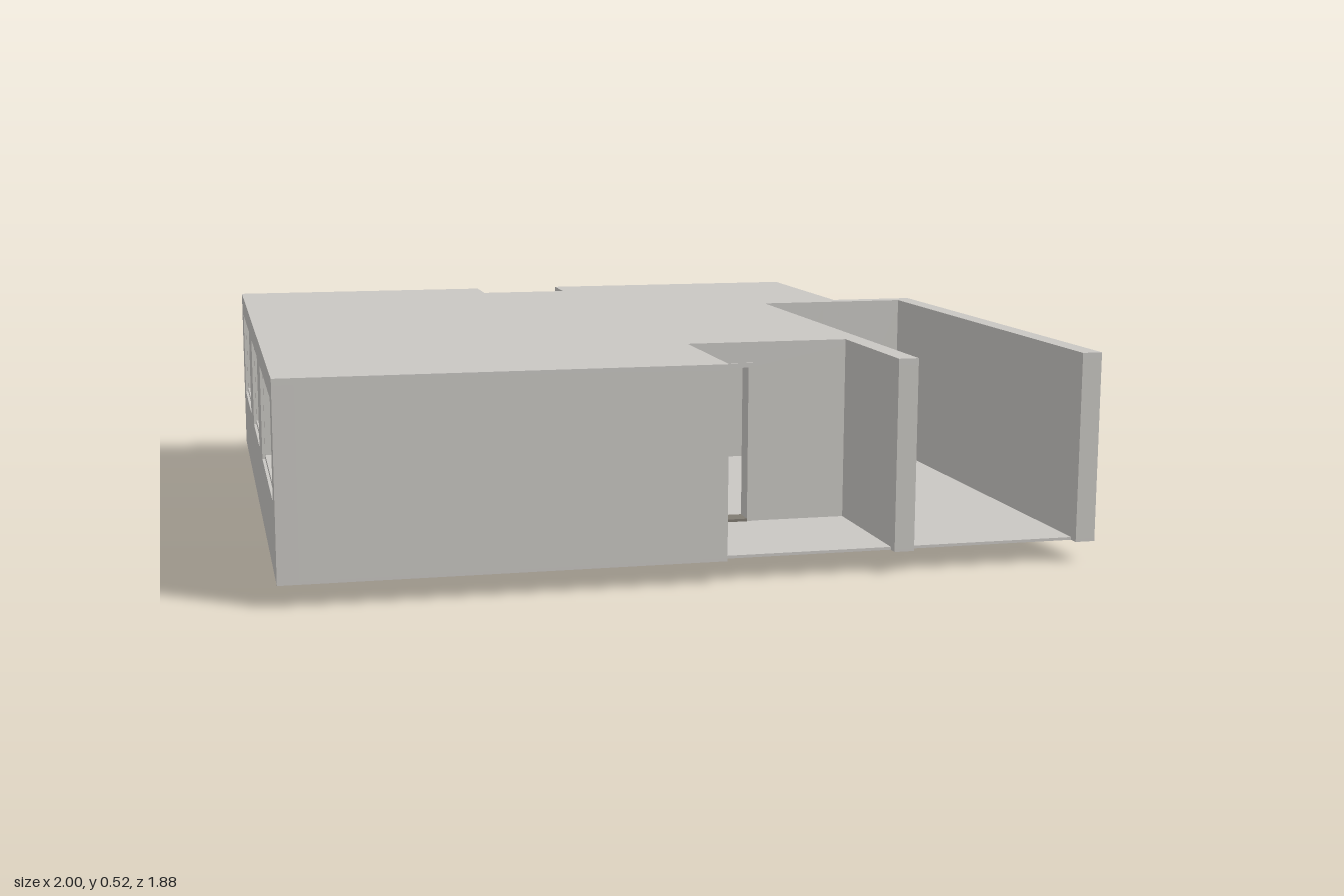
import * as THREE from 'three';

const plaster = new THREE.MeshStandardMaterial({ color: 0xc9c7c3 });
plaster.name = 'pale plaster';
const brown = new THREE.MeshStandardMaterial({ color: 0x807b72 });
brown.name = 'grey brown';
const dark = new THREE.MeshStandardMaterial({ color: 0x4a4846 });
dark.name = 'dark metal';

const FLOOR = 0.06, CEIL = 0.51, TOP = 0.525, BASE = 0.053, T = 0.05;

export function createModel() {
  const root = new THREE.Group();
  root.name = 'apartment';

  const add = (name, geo, mat = plaster, parent = root) => {
    const m = new THREE.Mesh(geo, mat);
    m.name = name;
    parent.add(m);
    return m;
  };
  const box = (name, x0, x1, y0, y1, z0, z1, mat, parent) =>
    add(name, new THREE.BoxGeometry(x1 - x0, y1 - y0, z1 - z0)
      .translate((x0 + x1) / 2, (y0 + y1) / 2, (z0 + z1) / 2), mat, parent);

  // Upright panel running along x or z, from a to b, with rectangular holes [a0, a1, y0, y1]
  const panel = (name, axis, a, b, y0, y1, c, t, holes = [], mat, parent) => {
    const rect = (P, [u0, u1, v0, v1]) => {
      const p = new P();
      p.moveTo(u0, v0); p.lineTo(u1, v0); p.lineTo(u1, v1); p.lineTo(u0, v1); p.closePath();
      return p;
    };
    const s = rect(THREE.Shape, [a, b, y0, y1]);
    holes.forEach(h => s.holes.push(rect(THREE.Path, h)));
    const g = new THREE.ExtrudeGeometry(s, { depth: t, bevelEnabled: false });
    if (axis === 'x') g.translate(0, 0, c);
    else g.rotateY(-Math.PI / 2).translate(c + t, 0, 0);
    return add(name, g, mat, parent);
  };
  const wall = (name, axis, a, b, c, holes) =>
    panel(name, axis, a, b, FLOOR, CEIL, c, T, holes);

  // Horizontal plate from a plan outline of [x, z] points
  const plate = (name, pts, y0, y1) => {
    const s = new THREE.Shape(pts.map(([x, z]) => new THREE.Vector2(x, -z)));
    add(name, new THREE.ExtrudeGeometry(s, { depth: y1 - y0, bevelEnabled: false })
      .rotateX(-Math.PI / 2).translate(0, y0, 0));
  };

  // Floor and roof
  const plan = balconyZ => [[-1, -0.94], [-0.25, -0.94], [-0.25, balconyZ], [0.005, balconyZ],
    [0.005, -0.94], [0.76, -0.94], [0.76, -0.355], [1, -0.355], [1, 0.94], [0.95, 0.94]];
  plate('floor', [...plan(-0.93), [0.95, 0.915], [0.525, 0.915], [0.525, 0.94], [0.475, 0.94],
    [0.475, 0.915], [0.055, 0.915], [0.055, 0.94], [-1, 0.94]], BASE, FLOOR);
  plate('roof', [...plan(-0.8), [0.95, -0.305], [0.525, -0.305], [0.525, 0.94], [0.475, 0.94],
    [0.475, 0.56], [0.055, 0.56], [0.055, 0.94], [-1, 0.94]], CEIL, TOP);

  // Outer walls
  const win = (z0, z1) => [z0, z1, 0.23, 0.47];
  const leftWindows = [[-0.83, -0.4], [-0.21, 0.15], [0.325, 0.86]];
  wall('sideWall', 'z', -0.94, 0.94, -1, leftWindows.map(w => win(...w)));
  wall('backWall', 'x', -0.95, -0.25, -0.94);
  wall('backWall', 'x', 0.005, 0.71, -0.94);
  wall('windowWall', 'z', -0.94, -0.305, 0.71, [win(-0.83, -0.4)]);
  wall('cornerWall', 'x', 0.76, 0.95, -0.355);
  wall('corridorEndWall', 'x', 0.475, 0.71, -0.355);
  wall('outerWall', 'z', -0.355, 0.94, 0.95);
  wall('middleWall', 'z', -0.305, 0.94, 0.475);
  wall('entryBackWall', 'x', 0.005, 0.475, 0.51, [[0.07, 0.215, 0.062, 0.46]]);
  wall('entrySideWall', 'z', 0.56, 0.94, 0.005);
  wall('frontWall', 'x', -0.95, 0.005, 0.89);
  wall('balconySideWall', 'z', -0.89, -0.75, -0.3);
  wall('balconySideWall', 'z', -0.89, -0.75, 0.005);
  wall('balconyBackWall', 'x', -0.25, 0.005, -0.8, [[-0.235, -0.01, 0.062, 0.455]]);

  // Inner walls with doorways
  const doorway = (a0, a1) => [a0, a1, 0.062, 0.46];
  wall('innerWall', 'z', -0.75, 0.89, -0.3,
    [doorway(-0.51, -0.41), doorway(-0.08, 0.06), doorway(0.3, 0.44)]);
  wall('innerWall', 'z', -0.75, -0.31, 0.005, [doorway(-0.51, -0.41)]);
  wall('innerWall', 'x', -0.95, -0.3, -0.36);
  wall('innerWall', 'x', -0.95, -0.3, 0.2);
  wall('innerWall', 'x', 0.005, 0.475, -0.36);
  box('lowCabinet', -0.1, 0, FLOOR, 0.27, -0.56, -0.36);

  // Sliding windows: outer frame, two offset sashes, inner sill
  const slider = (name, axis, a, b, y0, y1, c, dir) => {
    const g = new THREE.Group();
    g.name = name;
    root.add(g);
    const ring = (n, u0, u1, v0, v1, w, at, t) => panel(n, axis, u0, u1, v0, v1, at, t,
      [[u0 + w, u1 - w, v0 + w, v1 - w]], plaster, g);
    const mid = (a + b) / 2;
    ring('frame', a, b, y0, y1, 0.012, c - 0.018, 0.036);
    ring('sash', a + 0.012, mid + 0.004, y0 + 0.012, y1 - 0.012, 0.008, c + dir * 0.006 - 0.005, 0.01);
    ring('sash', mid - 0.004, b - 0.012, y0 + 0.012, y1 - 0.012, 0.008, c - dir * 0.006 - 0.005, 0.01);
  };
  leftWindows.forEach(([a, b]) => slider('sideWindow', 'z', a, b, 0.23, 0.47, -0.975, 1));
  slider('cornerWindow', 'z', -0.83, -0.4, 0.23, 0.47, 0.735, -1);
  slider('balconyDoor', 'x', -0.235, -0.01, 0.062, 0.455, -0.775, 1);

  // Balcony slab and railing
  box('balconySlab', -0.295, 0.055, 0, BASE - 0.001, -0.94, -0.8, brown);
  const rail = new THREE.Group();
  rail.name = 'railing';
  root.add(rail);
  box('topRail', -0.25, 0.005, 0.245, 0.257, -0.931, -0.919, plaster, rail);
  box('bottomRail', -0.25, 0.005, 0.075, 0.083, -0.929, -0.921, plaster, rail);
  for (let i = 0; i < 12; i++) {
    const x = -0.24 + i * 0.0214;
    box('baluster', x - 0.003, x + 0.003, FLOOR, 0.245, -0.928, -0.922, plaster, rail);
  }

  // Cooling unit on the balcony
  const unit = new THREE.Group();
  unit.name = 'coolingUnit';
  root.add(unit);
  box('unitBody', -0.21, -0.045, 0.065, 0.2, -0.893, -0.84, plaster, unit);
  const disc = add('fanRecess', new THREE.CylinderGeometry(0.044, 0.044, 0.003, 24)
    .rotateX(Math.PI / 2), dark, unit);
  disc.position.set(-0.155, 0.132, -0.894);
  for (const r of [0.015, 0.03, 0.045]) {
    const ring = add('fanGuard', new THREE.TorusGeometry(r, 0.002, 6, 24), plaster, unit);
    ring.position.set(-0.155, 0.132, -0.896);
  }

  // Entry: frame, threshold, and the door standing open
  panel('doorFrame', 'x', 0.056, 0.227, FLOOR, 0.472, 0.559, 0.005, [[0.07, 0.215, 0.062, 0.46]]);
  box('threshold', 0.07, 0.215, FLOOR, 0.067, 0.51, 0.565, brown);
  const door = new THREE.Group();
  door.name = 'entryDoor';
  door.position.set(0.062, 0, 0.564);
  door.rotation.y = 0.03;
  root.add(door);
  box('doorLeaf', -0.004, 0.004, 0.066, 0.463, 0, 0.148, brown, door);
  box('handlePlate', -0.007, 0.007, 0.235, 0.29, 0.124, 0.138, dark, door);
  box('handleLever', -0.014, 0.014, 0.26, 0.268, 0.122, 0.146, dark, door);

  return root;
}
